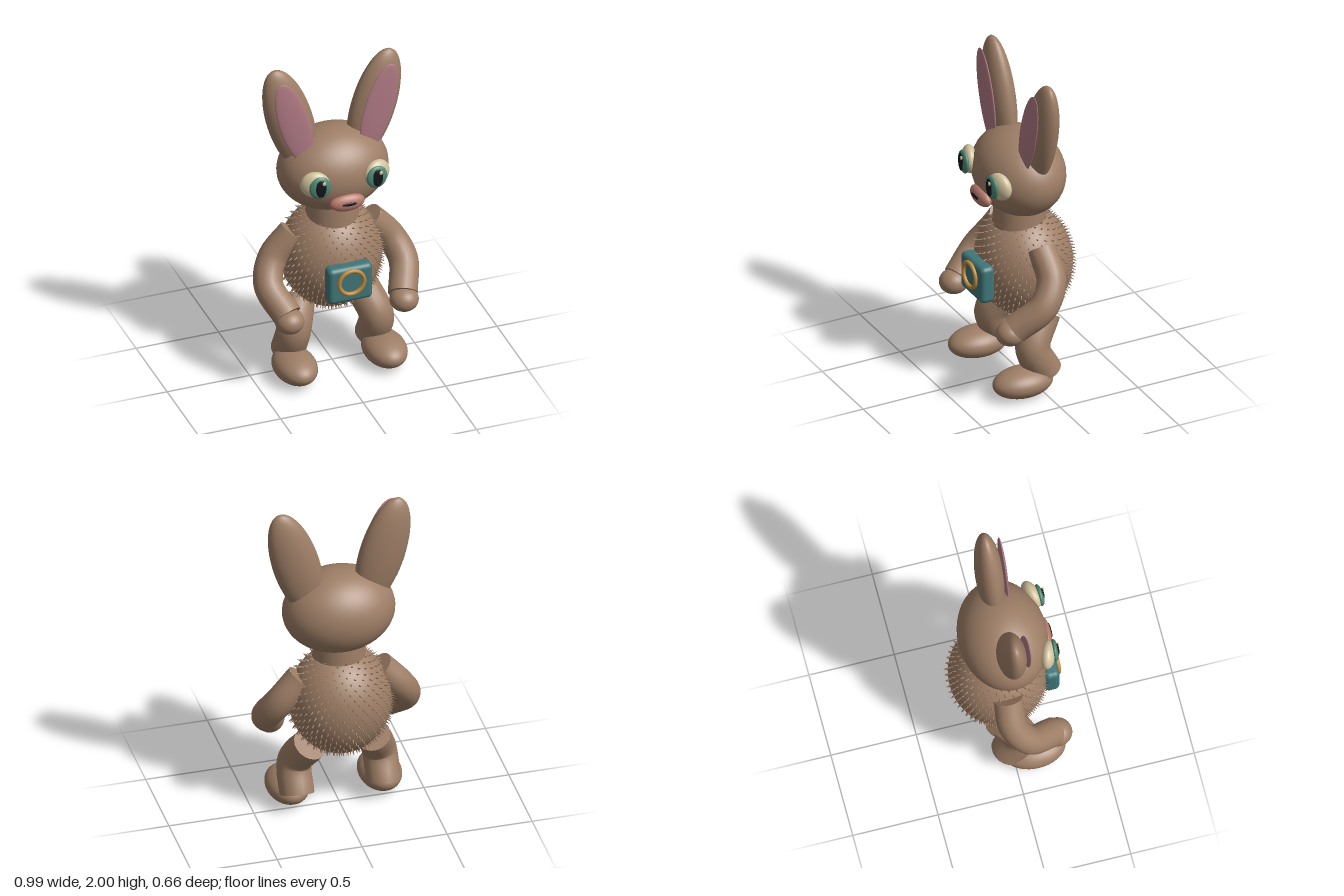
import * as THREE from 'three';
import { mergeGeometries } from 'three/addons/utils/BufferGeometryUtils.js';
import { RoundedBoxGeometry } from 'three/addons/geometries/RoundedBoxGeometry.js';

const mat = (name, color) => {
  const m = new THREE.MeshStandardMaterial({ color });
  m.name = name;
  return m;
};

export function createModel() {
  const fur = mat('brown fur', 0x9e7e66);
  const earPink = mat('ear pink', 0xb07a84);
  const nosePink = mat('muzzle pink', 0xb87a6c);
  const cream = mat('eye cream', 0xd2c39e);
  const green = mat('iris green', 0x4f8873);
  const black = mat('pupil black', 0x14161c);
  const teal = mat('box teal', 0x3f7678);
  const gold = mat('ring gold', 0xc08a3a);

  const model = new THREE.Group();
  model.name = 'rabbit';

  const add = (name, geometry, material, pos = [0, 0, 0], rot = [0, 0, 0], parent = model) => {
    const mesh = new THREE.Mesh(geometry, material);
    mesh.name = name;
    mesh.position.set(...pos);
    mesh.rotation.set(...rot);
    parent.add(mesh);
    return mesh;
  };
  const ellipsoid = (name, radii, material, pos, rot, parent) =>
    add(name, new THREE.SphereGeometry(1, 40, 28).scale(...radii), material, pos, rot, parent);

  // Bent limb: a tube along a smooth path, closed with a disc at each end
  const limb = (name, points, radius, parent) => {
    const curve = new THREE.CatmullRomCurve3(points.map(p => new THREE.Vector3(...p)));
    const parts = [new THREE.TubeGeometry(curve, 28, radius, 20)];
    for (const t of [0, 1]) {
      const dir = curve.getTangent(t).multiplyScalar(t ? 1 : -1);
      const q = new THREE.Quaternion().setFromUnitVectors(new THREE.Vector3(0, 0, 1), dir);
      const p = curve.getPoint(t);
      parts.push(new THREE.CircleGeometry(radius, 20).applyQuaternion(q).translate(p.x, p.y, p.z));
    }
    add(name, mergeGeometries(parts), fur, [0, 0, 0], [0, 0, 0], parent);
  };

  // Torso, neck and head
  const bodyCentre = new THREE.Vector3(0, 0.715, -0.025);
  const bodyRadii = new THREE.Vector3(0.295, 0.33, 0.28);
  ellipsoid('body', bodyRadii.toArray(), fur, bodyCentre.toArray());
  add('neck', new THREE.CylinderGeometry(0.145, 0.155, 0.16, 32), fur, [0, 1.04, 0]);
  ellipsoid('head', [0.327, 0.253, 0.255], fur, [0, 1.303, 0.005]);

  // Fur tufts: small spikes spread evenly over the body, leaning downward
  const tufts = [];
  const up = new THREE.Vector3(0, 1, 0);
  const count = 720;
  for (let i = 0; i < count; i++) {
    const y = 1 - (2 * (i + 0.5)) / count;
    if (y > 0.92) continue;
    const r = Math.sqrt(1 - y * y), a = i * 2.399963;
    const unit = new THREE.Vector3(Math.cos(a) * r, y, Math.sin(a) * r);
    const dir = unit.clone().divide(bodyRadii).normalize();
    dir.y -= 0.35;
    dir.normalize();
    const p = unit.multiply(bodyRadii).add(bodyCentre).addScaledVector(dir, 0.008);
    const q = new THREE.Quaternion().setFromUnitVectors(up, dir);
    tufts.push(new THREE.ConeGeometry(0.007, 0.034, 5).applyQuaternion(q).translate(p.x, p.y, p.z));
  }
  add('furTufts', mergeGeometries(tufts), fur);

  // Muzzle and mouth
  ellipsoid('muzzle', [0.105, 0.054, 0.042], nosePink, [0, 1.193, 0.246]);
  ellipsoid('mouth', [0.045, 0.011, 0.006], black, [0, 1.2, 0.286]);

  // Paired parts, +x is the model's left
  for (const s of [1, -1]) {
    const side = new THREE.Group();
    side.name = s > 0 ? 'leftSide' : 'rightSide';
    model.add(side);
    const tilt = [0, 0, -s * 0.28];
    ellipsoid('ear', [0.135, 0.36, 0.08], fur, [s * 0.255, 1.65, -0.007], tilt, side);
    ellipsoid('innerEar', [0.09, 0.285, 0.016], earPink, [s * 0.257, 1.67, 0.076], tilt, side);

    ellipsoid('eyeball', [0.085, 0.082, 0.045], cream, [s * 0.187, 1.335, 0.222], [0, s * 0.3, 0], side);
    ellipsoid('iris', [0.064, 0.07, 0.022], green, [s * 0.172, 1.335, 0.266], [0, s * 0.08, 0], side);
    ellipsoid('pupil', [0.031, 0.056, 0.009], black, [s * 0.172, 1.338, 0.284], [0, s * 0.05, 0], side);
    ellipsoid('eyeGlint', [0.011, 0.013, 0.006], cream, [s * 0.172 + 0.016, 1.372, 0.291], [0, 0, 0], side);

    limb('arm', [[s * 0.23, 0.89, -0.022], [s * 0.355, 0.745, -0.02],
      [s * 0.408, 0.62, 0.06], [s * 0.35, 0.49, 0.21]], 0.085, side);
    ellipsoid('hand', [0.084, 0.072, 0.085], fur, [s * 0.347, 0.468, 0.238], [0, 0, 0], side);

    limb('leg', [[s * 0.185, 0.45, -0.055], [s * 0.25, 0.28, 0.045], [s * 0.255, 0.115, -0.03]], 0.1, side);
    ellipsoid('foot', [0.124, 0.088, 0.184], fur, [s * 0.272, 0.09, 0.12], [0, 0, 0], side);
  }

  // Belly box with a ring on its front
  add('bellyBox', new RoundedBoxGeometry(0.27, 0.23, 0.09, 5, 0.03), teal, [0, 0.675, 0.266]);
  add('bellyRing', new THREE.TorusGeometry(0.075, 0.0125, 12, 48), gold, [0, 0.697, 0.318]);

  return model;
}
